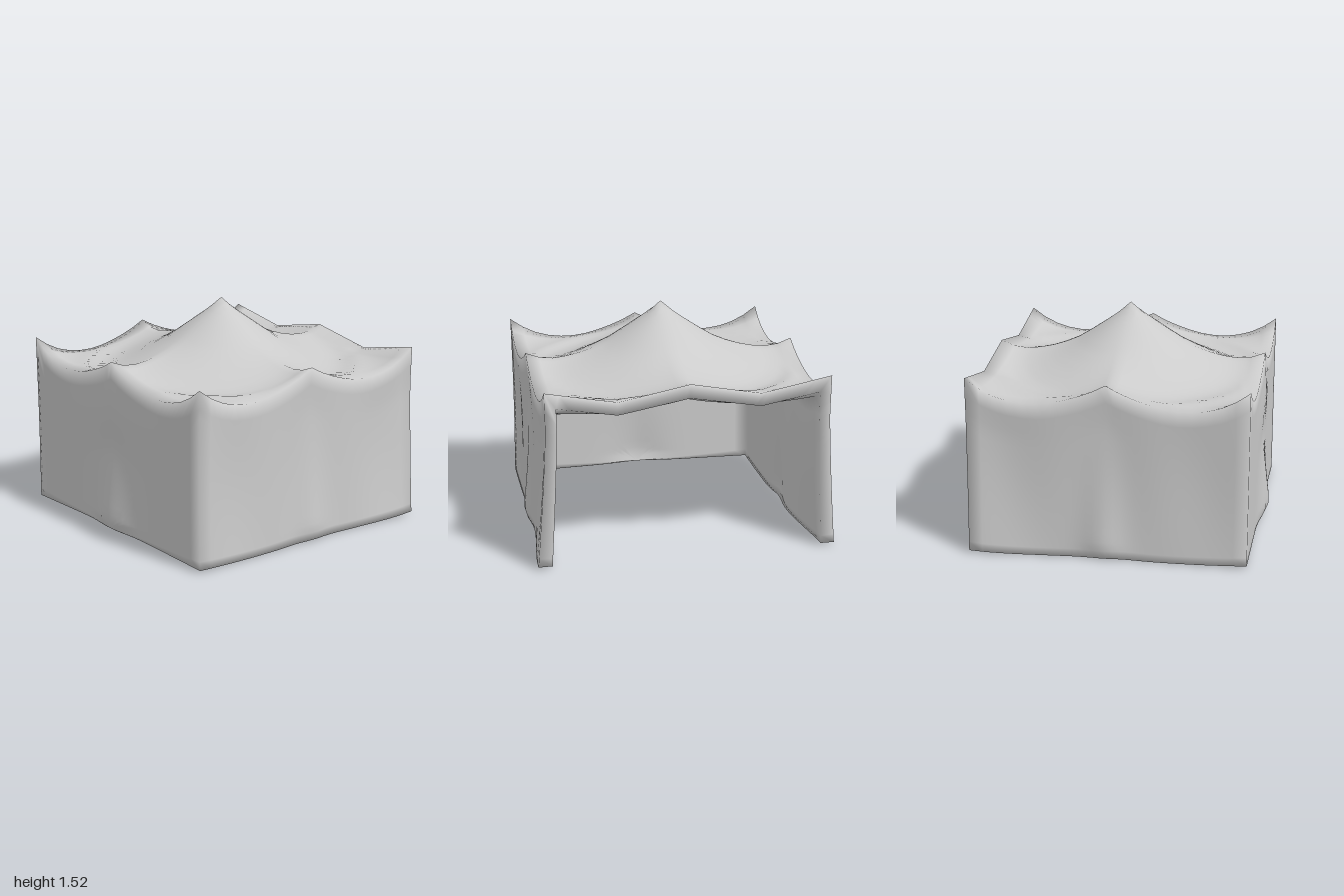
import * as THREE from 'three';

// Height profiles sampled every 0.1 from the middle (0) to the border (1)
const RIDGE = [1.52, 1.44, 1.375, 1.312, 1.255, 1.215, 1.185, 1.165, 1.155, 1.165, 1.2];
const EAVE = [1.2, 1.152, 1.115, 1.085, 1.062, 1.05, 1.05, 1.063, 1.09, 1.135, 1.2];
const THIN = 0.92; // inner skin relative to the outer skin

function sample(table, t) {
  const i = Math.min(Math.floor(t * 10), 9);
  return THREE.MathUtils.lerp(table[i], table[i + 1], t * 10 - i);
}

const bell = (t, w) => Math.exp(-((t / w) ** 2));

// Roof height: a cone around the middle pole, sagging between the border poles
function roofHeight(X, Z) {
  const u = Math.abs(X), v = Math.abs(Z);
  const openEave = 1.2 - 0.09 * (1 - Math.abs(2 * v - 1));
  const sideEave = THREE.MathUtils.lerp(sample(EAVE, v), openEave, X > 0 ? u ** 4 : 0);
  return sample(RIDGE, Math.min(1, Math.hypot(u, v)))
    + v * v * (sample(EAVE, u) - 1.2) + u * u * (sideEave - 1.2);
}

// Drapes a point of a unit box into the cloth shape
function drape(X, Y, Z) {
  const low = Math.max(0, 1 - Y * 1.3);
  const hem = Math.min(1, 0.45 + Y * 9); // bottom hem curls inward
  const hang = Math.sin(Math.PI * Y);
  const wall = Z ** 4, end = X < 0 ? X ** 4 : 0;
  const flare = 0.06 * low * THREE.MathUtils.smoothstep(X, 0.2, 1)
    + hem * 0.05 * low * bell(X - 0.02, 0.13)
    - hang * (0.014 + 0.008 * Math.cos(X * 9));
  const bulge = hem * 0.07 * Math.max(0, 1 - Y * 2.1) * bell(Z, 0.2)
    + 0.018 * bell(Y - 0.75, 0.2) * bell(Z, 0.3);
  const base = 0.02 * Math.abs(X) ** 3 + 0.012 * bell(X, 0.2)
    + 0.02 * end * (1 - Math.abs(Z));
  return [
    0.02 + 0.93 * X - end * bulge - (X > 0 ? 0.01 * low * X ** 4 : 0),
    Y * roofHeight(X, Z) + base * (1 - Y),
    0.94 * Z + Math.sign(Z) * wall * flare,
  ];
}

function createShell() {
  // Steps from 0 to 1 and 1 to -1, wider at the border for soft shoulders
  const soft = (t) => Math.abs(Math.abs(t) - 0.95) > 0.01;
  const steps = Array.from({ length: 21 }, (_, i) => i / 20).filter(soft);
  const across = Array.from({ length: 41 }, (_, i) => 1 - i / 20).filter(soft);

  // Arch: up the front wall, over the roof, down the back wall (z, y)
  const arch = [
    ...steps.map((y) => [1, y]),
    ...across.slice(1, -1).map((z) => [z, 1]),
    ...steps.slice().reverse().map((y) => [-1, y]),
  ];

  // Path of the skin: out over the closed end, along the tent to the open
  // rim, then back along the inside (x, arch scale)
  const outer = [
    ...steps.map((s) => [-1, s]),
    ...across.slice(0, -1).reverse().map((x) => [x, 1]),
  ];
  const inner = outer.map(([x, s]) => [x < 0 ? x * THIN : x, s * THIN]);
  const path = [...outer, ...inner.reverse()];

  const U = arch.length, V = path.length;
  const positions = [], index = [];
  for (const [z, y] of arch) {
    for (const [x, s] of path) positions.push(...drape(x, y * s, z * s));
  }
  const quad = (a, b, c, d) => index.push(a, b, c, b, d, c);
  for (let u = 0; u < U - 1; u++) {
    for (let v = 0; v < V - 1; v++) {
      const a = u * V + v;
      quad(a, a + 1, a + V, a + V + 1);
    }
  }
  // Bottom hem joining the outer and inner skins
  const last = (U - 1) * V;
  for (let i = 0; i < outer.length - 1; i++) {
    const j = V - 1 - i;
    quad(i, j, i + 1, j - 1);
    quad(last + i, last + i + 1, last + j, last + j - 1);
  }

  const geometry = new THREE.BufferGeometry();
  geometry.setAttribute('position', new THREE.Float32BufferAttribute(positions, 3));
  geometry.setIndex(index);
  geometry.computeVertexNormals();
  return geometry;
}

export function createModel() {
  const group = new THREE.Group();
  group.name = 'tent';
  const cloth = new THREE.Mesh(
    createShell(),
    new THREE.MeshStandardMaterial({ color: 0xcccccc }),
  );
  cloth.name = 'clothCanopyAndWalls';
  group.add(cloth);
  return group;
}
